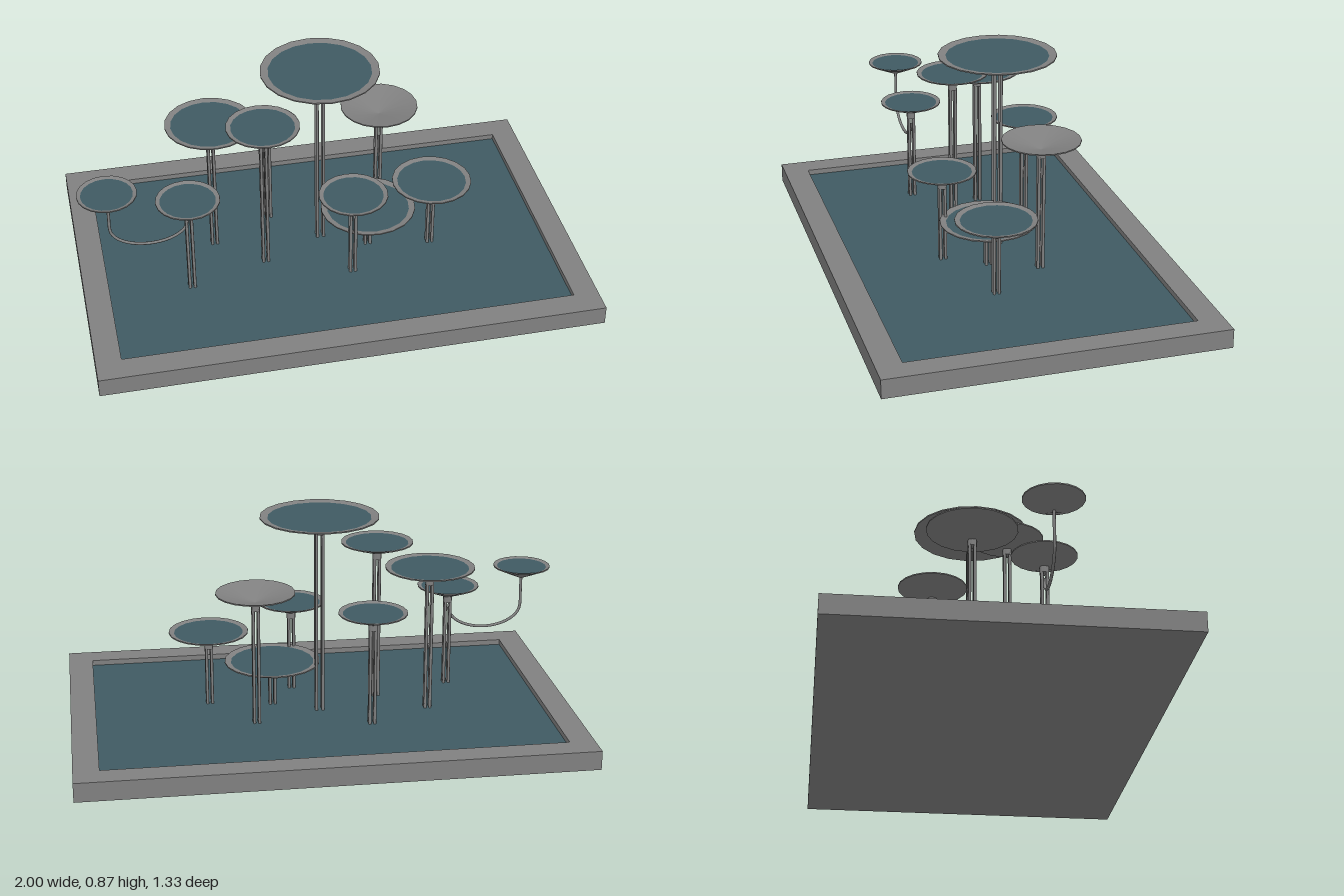
import * as THREE from 'three';
import { mergeGeometries } from 'three/addons/utils/BufferGeometryUtils.js';

const concrete = new THREE.MeshStandardMaterial({ color: 0x808080 });
concrete.name = 'concrete grey';
const water = new THREE.MeshStandardMaterial({ color: 0x3f5a62 });
water.name = 'water teal';

const SIDES = 20;
const POOL_Y = 0.055;

// x, z, rim height, radius of each dish, and its options
const DISHES = [
  { x: 0, z: -0.05, y: 0.872, r: 0.235, spread: 0.013 },
  { x: -0.437, z: -0.09, y: 0.656, r: 0.178 },
  { x: -0.251, z: 0.067, y: 0.721, r: 0.145 },
  { x: -0.187, z: -0.221, y: 0.523, r: 0.136 },
  { x: -0.569, z: 0.167, y: 0.488, r: 0.126 },
  { x: -0.877, z: 0.16, y: 0.561, r: 0.116, hanging: true },
  { x: 0.266, z: -0.15, y: 0.603, r: 0.156, dry: true },
  { x: 0.082, z: 0.201, y: 0.438, r: 0.137 },
  { x: 0.434, z: 0.081, y: 0.368, r: 0.16 },
  { x: 0.181, z: 0.039, y: 0.245, r: 0.193 },
];

function add(parent, name, geometry, material, x = 0, y = 0, z = 0) {
  const mesh = new THREE.Mesh(geometry, material);
  mesh.name = name;
  mesh.position.set(x, y, z);
  parent.add(mesh);
  return mesh;
}

// Conical bowl, origin at rim height; separate surfaces keep the lip sharp
function bowlGeometry(r) {
  const surface = (...pts) =>
    new THREE.LatheGeometry(pts.map(([a, b]) => new THREE.Vector2(a, b)), SIDES);
  return mergeGeometries([
    surface([0, -0.05], [0.018, -0.05]),
    surface([0.018, -0.05], [r, -0.005]),
    surface([r, -0.005], [r, 0]),
    surface([r, 0], [0, -0.042]),
  ]);
}

function makeDish({ x, z, y, r, spread = 0.01, hanging, dry }) {
  const dish = new THREE.Group();
  dish.name = dry ? 'dryDish' : 'waterDish';
  dish.position.set(x, 0, z);
  add(dish, 'bowl', bowlGeometry(r), concrete, 0, y, 0);
  if (!dry) {
    const disc = new THREE.CircleGeometry(r * 0.87, SIDES).rotateX(-Math.PI / 2);
    add(dish, 'dishWater', disc, water, 0, y - 0.005, 0);
  }
  if (hanging) return dish;

  // Collar under the bowl and a bundle of four slim poles
  add(dish, 'collar', new THREE.CylinderGeometry(spread + 0.008, spread + 0.008, 0.03, 12),
    concrete, 0, y - 0.06, 0);
  const height = y - 0.05 - 0.04;
  for (const sx of [-1, 1]) {
    for (const sz of [-1, 1]) {
      add(dish, 'pole', new THREE.CylinderGeometry(0.006, 0.006, height, 8),
        concrete, sx * spread, 0.04 + height / 2, sz * spread);
    }
  }
  return dish;
}

export function createModel() {
  const model = new THREE.Group();
  model.name = 'dishFountain';

  // Pool surround with a rectangular opening
  const rect = (Type, w, d) => new Type([
    new THREE.Vector2(-w, -d), new THREE.Vector2(w, -d),
    new THREE.Vector2(w, d), new THREE.Vector2(-w, d),
  ]);
  const outline = rect(THREE.Shape, 1, 0.667);
  outline.holes.push(rect(THREE.Path, 0.9, 0.565));
  const surround = new THREE.ExtrudeGeometry(outline, { depth: 0.077, bevelEnabled: false });
  add(model, 'poolSurround', surround.rotateX(-Math.PI / 2), concrete);

  // Floor and water surface
  add(model, 'poolFloor', new THREE.BoxGeometry(1.8, 0.04, 1.13), concrete, 0, 0.02, 0);
  add(model, 'poolWater', new THREE.PlaneGeometry(1.8, 1.13).rotateX(-Math.PI / 2),
    water, 0, POOL_Y, 0);

  for (const spec of DISHES) model.add(makeDish(spec));

  // Curved arm carrying the outer dish from its neighbour's poles
  const path = [new THREE.Vector3(-0.877, 0.52, 0.16), new THREE.Vector3(-0.877, 0.45, 0.16)];
  for (let i = 0; i <= 12; i++) {
    const a = Math.PI + (i / 12) * Math.PI;
    path.push(new THREE.Vector3(
      -0.725 + 0.152 * Math.cos(a), 0.39 + 0.092 * Math.sin(a), 0.16 + 0.007 * (i / 12)));
  }
  add(model, 'curvedArm',
    new THREE.TubeGeometry(new THREE.CatmullRomCurve3(path), 48, 0.006, 8), concrete);

  return model;
}
